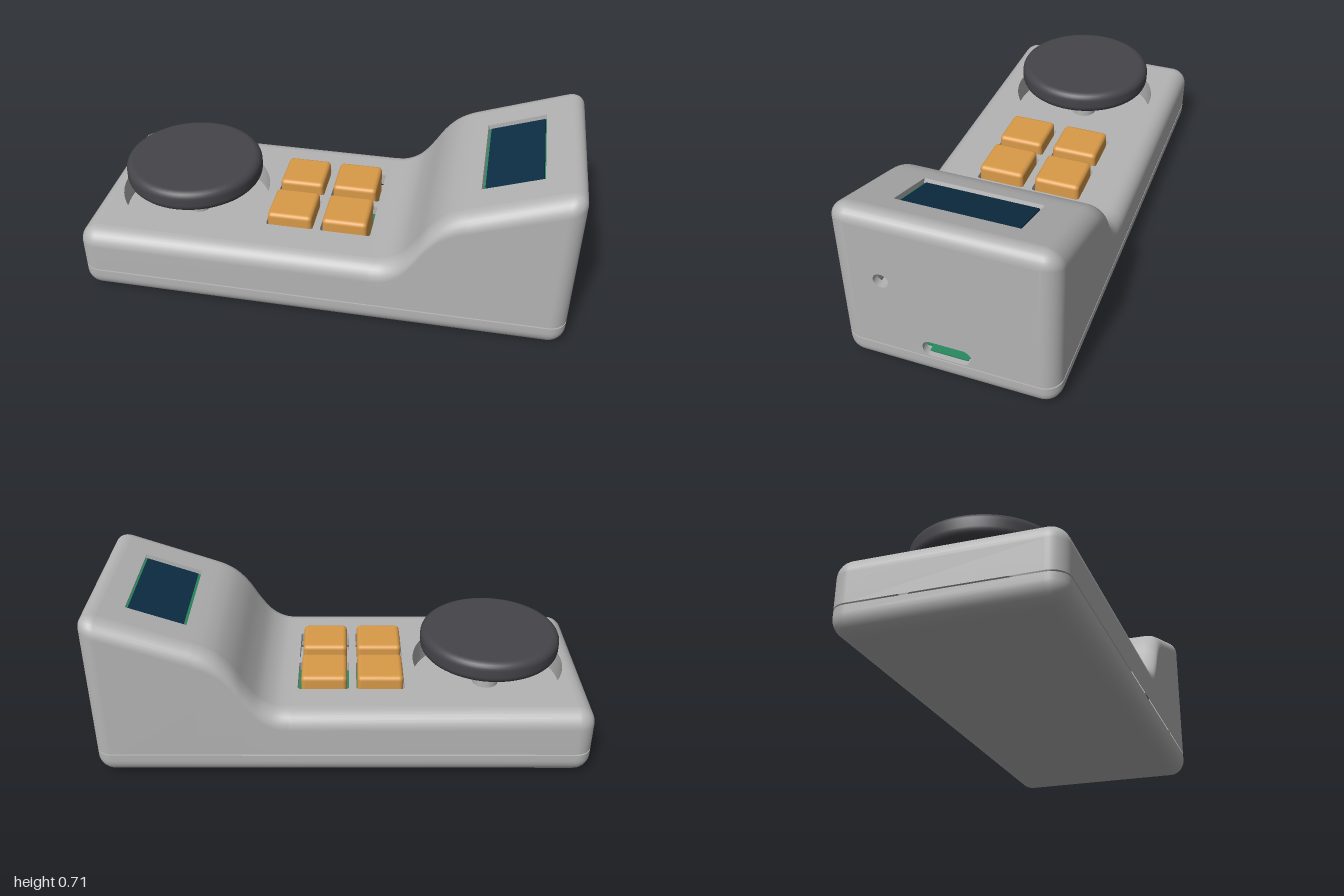
import * as THREE from 'three';
import { RoundedBoxGeometry } from 'three/addons/geometries/RoundedBoxGeometry.js';

const XI = 0.93, ZI = 0.35, R = 0.07;      // flat area half sizes, edge radius
const DECK = 0.29, SEAM = 0.103, SLOPE = 0.346;

const mat = (name, color, side = THREE.FrontSide) => {
  const m = new THREE.MeshStandardMaterial({ color, side });
  m.name = name;
  return m;
};

function add(parent, name, geometry, material, x = 0, y = 0, z = 0) {
  const mesh = new THREE.Mesh(geometry, material);
  mesh.name = name;
  mesh.position.set(x, y, z);
  parent.add(mesh);
  return mesh;
}

// Rectangle path with corner radius r
function rect(Type, x0, y0, x1, y1, r = 0) {
  const p = new Type();
  p.moveTo(x0 + r, y0).lineTo(x1 - r, y0);
  if (r) p.absarc(x1 - r, y0 + r, r, -Math.PI / 2, 0);
  p.lineTo(x1, y1 - r);
  if (r) p.absarc(x1 - r, y1 - r, r, 0, Math.PI / 2);
  p.lineTo(x0 + r, y1);
  if (r) p.absarc(x0 + r, y1 - r, r, Math.PI / 2, Math.PI);
  p.lineTo(x0, y0 + r);
  if (r) p.absarc(x0 + r, y0 + r, r, Math.PI, Math.PI * 1.5);
  return p;
}

const circle = (x, y, r) => new THREE.Path().absarc(x, y, r, 0, Math.PI * 2);

// Horizontal slab with holes; its top lies at y = 0 and shape y becomes -z
function slab(shape, holes, depth) {
  shape.holes.push(...holes);
  return new THREE.ExtrudeGeometry(shape, { depth, bevelEnabled: false, curveSegments: 40 })
    .translate(0, 0, -depth).rotateX(-Math.PI / 2);
}

// Rounded edge and side wall following a top profile of (x, height) points
function rim(profile, slope, yEnd, openEnd) {
  const path = [], corner = 8, rows = 8;
  const h0 = profile[0].y, h1 = profile[profile.length - 1].y;
  const turn = (x, z, h, from) => {
    for (let i = 1; i < corner; i++) {
      const t = from - (i / corner) * Math.PI / 2;
      path.push([x, z, h, Math.cos(t), Math.sin(t)]);
    }
  };
  profile.forEach(p => path.push([p.x, ZI, p.y, 0, 1]));
  turn(XI, ZI, h1, Math.PI / 2);
  const endIndex = path.length;
  path.push([XI, ZI, h1, 1, 0], [XI, -ZI, h1, 1, 0]);
  turn(XI, -ZI, h1, 0);
  [...profile].reverse().forEach(p => path.push([p.x, -ZI, p.y, 0, -1]));
  turn(-XI, -ZI, h0, -Math.PI / 2);
  path.push([-XI, -ZI, h0, -1, 0], [-XI, ZI, h0, -1, 0]);
  turn(-XI, ZI, h0, Math.PI);

  const pos = [], index = [], w = rows + 2, n = path.length;
  path.forEach(([x, z, h, nx, nz]) => {
    for (let i = 0; i <= rows; i++) {
      const a = (i / rows) * Math.PI / 2, out = R * Math.sin(a);
      pos.push(x + nx * out, h + slope * Math.max(nx, 0) * out - R * (1 - Math.cos(a)), z + nz * out);
    }
    pos.push(x + nx * R, yEnd, z + nz * R);
  });
  for (let j = 0; j < n; j++) {
    const a = j * w, b = ((j + 1) % n) * w;
    for (let i = 0; i <= rows; i++) {
      if (openEnd && j === endIndex && i === rows) continue;
      index.push(a + i + 1, b + i + 1, b + i, a + i + 1, b + i, a + i);
    }
  }
  const g = new THREE.BufferGeometry();
  g.setAttribute('position', new THREE.Float32BufferAttribute(pos, 3));
  g.setIndex(index);
  g.computeVertexNormals();
  return g;
}

export function createModel() {
  const model = new THREE.Group();
  model.name = 'handheldController';
  const shell = mat('shellGrey', 0xb4b4b4, THREE.DoubleSide);
  const dark = mat('knobCharcoal', 0x454449);
  const orange = mat('buttonOrange', 0xd99a48);
  const navy = mat('screenNavy', 0x0d2e45);
  const green = mat('boardGreen', 0x2a8a60);

  // Lower shell: tray with rounded bottom edge and closed top
  const lower = new THREE.Group();
  lower.name = 'lowerShell';
  model.add(lower);
  const flat = [new THREE.Vector2(-XI, 0.097), new THREE.Vector2(XI, 0.097)];
  add(lower, 'trayEdge', rim(flat, 0, 0, false).rotateX(Math.PI).translate(0, 0.097, 0), shell);
  add(lower, 'trayBottom', new THREE.PlaneGeometry(2 * XI, 2 * ZI).rotateX(Math.PI / 2), shell);
  add(lower, 'trayLid', new THREE.ShapeGeometry(rect(THREE.Shape, -1, -0.42, 1, 0.42, R))
    .rotateX(-Math.PI / 2), shell, 0, 0.097, 0);

  // Upper shell profile: low deck, curved ramp, sloped head
  const upper = new THREE.Group();
  upper.name = 'upperShell';
  model.add(upper);
  const ramp = new THREE.SplineCurve([
    [0.21, DECK], [0.27, 0.297], [0.33, 0.332], [0.38, 0.395], [0.43, 0.475],
    [0.48, 0.53], [0.53, 0.562], [0.58, 0.582],
  ].map(p => new THREE.Vector2(...p))).getPoints(28);
  const top = new THREE.Vector2(XI, 0.582 + (XI - 0.58) * SLOPE);
  add(upper, 'shellEdge', rim([new THREE.Vector2(-XI, DECK), ...ramp, top], SLOPE, SEAM, true), shell);

  const rampGeo = new THREE.PlaneGeometry(1, 2 * ZI, ramp.length - 1, 1).rotateX(-Math.PI / 2);
  for (let i = 0; i < rampGeo.attributes.position.count; i++) {
    const p = ramp[i % ramp.length];
    rampGeo.attributes.position.setXY(i, p.x, p.y);
  }
  rampGeo.computeVertexNormals();
  add(upper, 'ramp', rampGeo, shell);

  // Deck with knob well and four button openings
  const holes = [circle(-0.61, 0, 0.317)];
  for (const [x0, x1] of [[-0.247, -0.05], [-0.02, 0.19]])
    for (const [z0, z1] of [[-0.227, -0.023], [0.015, 0.218]])
      holes.push(rect(THREE.Path, x0, -z1, x1, -z0, 0.012));
  add(upper, 'deck', slab(rect(THREE.Shape, -XI, -ZI, 0.21, ZI), holes, 0.04), shell, 0, DECK, 0);
  add(upper, 'knobWell', new THREE.CylinderGeometry(0.317, 0.317, 0.11, 64, 1, true), shell, -0.61, 0.234, 0);
  add(upper, 'wellFloor', new THREE.CircleGeometry(0.317, 64).rotateX(-Math.PI / 2), shell, -0.61, 0.18, 0);

  // End wall with port slot and pin hole
  const wall = rect(THREE.Shape, -ZI, SEAM, ZI, top.y + SLOPE * R - R);
  wall.holes.push(rect(THREE.Path, -0.094, 0.11, 0.094, 0.18, 0.032), circle(-0.232, 0.425, 0.03));
  add(upper, 'endWall', new THREE.ExtrudeGeometry(wall, { depth: 0.03, bevelEnabled: false, curveSegments: 16 })
    .rotateY(Math.PI / 2), shell, 0.97, 0, 0);

  // Sloped head: window frame, display board and screen
  const head = new THREE.Group();
  head.name = 'screenHead';
  head.position.set(0.58, 0.582, 0);
  head.rotation.z = Math.atan(SLOPE);
  upper.add(head);
  const k = Math.hypot(1, SLOPE);
  add(head, 'windowFrame', slab(rect(THREE.Shape, 0, -ZI, 0.35 * k, ZI),
    [rect(THREE.Path, 0.035 * k, -0.234, 0.265 * k, 0.234)], 0.025), shell);
  add(head, 'displayBoard', new THREE.BoxGeometry(0.27 * k, 0.012, 0.5), green, 0.15 * k, -0.026, 0);
  add(head, 'screen', new THREE.BoxGeometry(0.212 * k, 0.009, 0.442), navy, 0.151 * k, -0.0155, 0);

  // Main board and port tongue
  add(model, 'mainBoard', new THREE.BoxGeometry(1.055, 0.012, 0.58), green, 0.42, 0.101, 0);
  add(model, 'portTongue', new THREE.BoxGeometry(0.08, 0.012, 0.15), green, 0.94, 0.11, 0);

  // Buttons
  for (const x of [-0.148, 0.082])
    for (const z of [-0.125, 0.117])
      add(model, 'button', new RoundedBoxGeometry(0.187, 0.14, 0.192, 3, 0.018), orange, x, 0.27, z);

  // Knob: rounded disc on a shaft
  const pts = [new THREE.Vector2(0, 0.35)];
  for (const [y, from] of [[0.383, -90], [0.412, 0]])
    for (let i = 0; i <= 6; i++) {
      const a = THREE.MathUtils.degToRad(from + i * 15);
      pts.push(new THREE.Vector2(0.257 + 0.033 * Math.cos(a), y + 0.033 * Math.sin(a)));
    }
  pts.push(new THREE.Vector2(0, 0.445));
  add(model, 'knob', new THREE.LatheGeometry(pts, 64), dark, -0.61, 0, 0);
  add(model, 'knobShaft', new THREE.CylinderGeometry(0.055, 0.055, 0.18, 32), shell, -0.61, 0.27, 0);
  return model;
}
